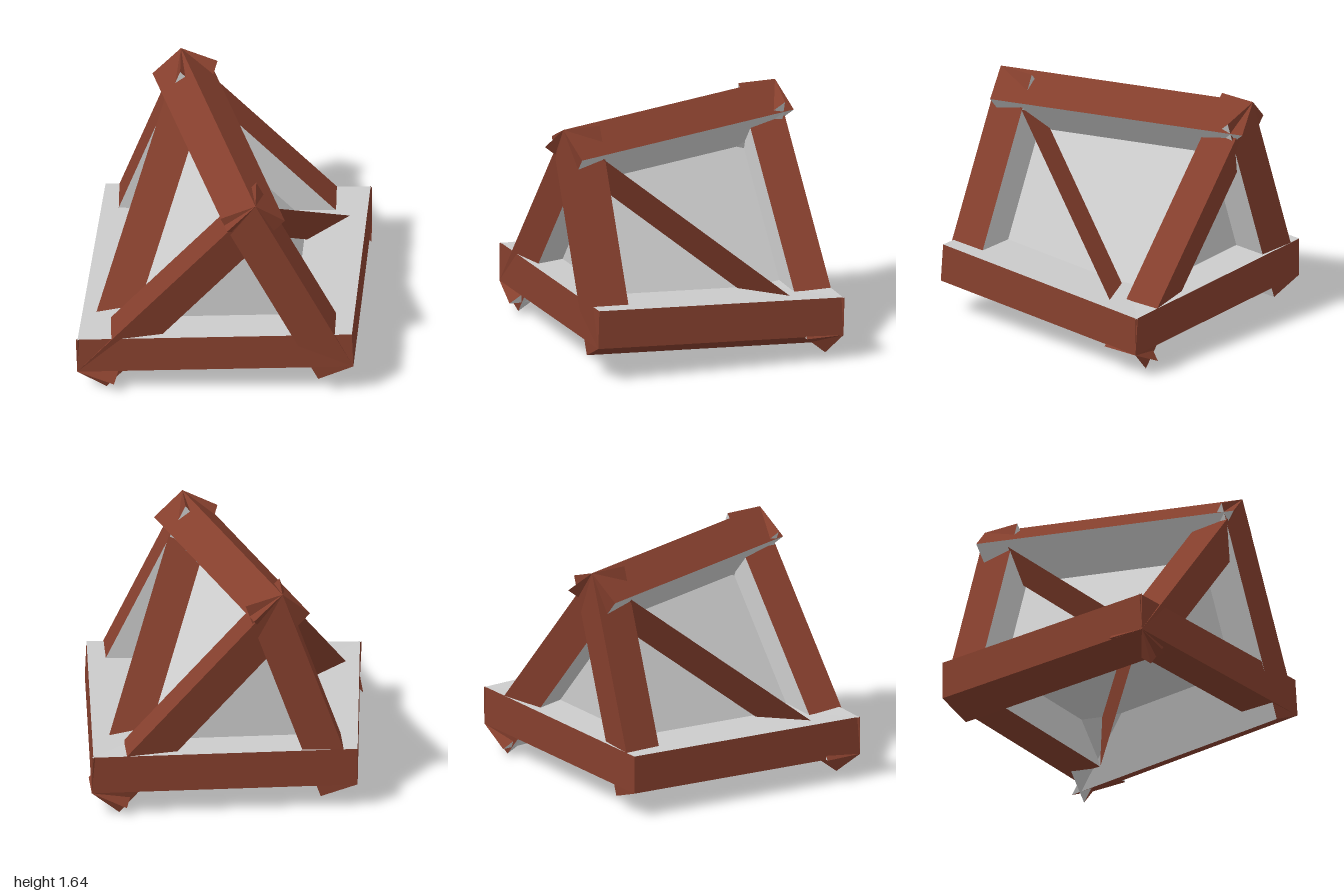
import * as THREE from 'three';

// Wedge-shaped hull: four base corners and a skewed ridge
const V = {
  frontLeft: [-1, 0.18, 0.885],
  frontRight: [0.905, 0.255, 0.885],
  backRight: [1, 0.18, -0.89],
  backLeft: [-0.84, 0.18, -0.89],
  ridgeBack: [-0.32, 1.64, -0.89],
  ridgeFront: [0.23, 1.64, 0.885],
};
// Every triangular face, split along the diagonals
const FACES = {
  frontFace: ['frontLeft', 'frontRight', 'ridgeFront'],
  backFace: ['backRight', 'backLeft', 'ridgeBack'],
  lowerSideA: ['frontRight', 'backRight', 'ridgeFront'],
  upperSideA: ['ridgeFront', 'backRight', 'ridgeBack'],
  lowerSideB: ['backLeft', 'frontLeft', 'ridgeBack'],
  upperSideB: ['ridgeBack', 'frontLeft', 'ridgeFront'],
  floorFront: ['frontLeft', 'backRight', 'frontRight'],
  floorBack: ['frontLeft', 'backLeft', 'backRight'],
};
const DEPTH = 0.27;

// Flat-shaded mesh from a list of triangle corners
function triangleMesh(points, material, name) {
  const geometry = new THREE.BufferGeometry().setFromPoints(points);
  geometry.computeVertexNormals();
  const mesh = new THREE.Mesh(geometry, material);
  mesh.name = name;
  return mesh;
}

export function createModel() {
  const model = new THREE.Group();
  model.name = 'triangulatedFrame';
  const wood = new THREE.MeshStandardMaterial({ color: 0x853f2d, side: THREE.DoubleSide });
  const grey = new THREE.MeshStandardMaterial({ color: 0xcccccc, side: THREE.DoubleSide });

  for (const [name, keys] of Object.entries(FACES)) {
    const outer = keys.map((k) => new THREE.Vector3(...V[k]));
    const normal = new THREE.Triangle(...outer).getNormal(new THREE.Vector3());
    const inner = outer.map((p) => p.clone().addScaledVector(normal, -DEPTH));

    // Boards run inward from the three edges, square to the face
    const boards = [];
    for (let i = 0; i < 3; i++) {
      const j = (i + 1) % 3;
      boards.push(inner[i], inner[j], outer[j], inner[i], outer[j], outer[i]);
    }
    const part = new THREE.Group();
    part.name = name;
    part.add(triangleMesh(boards, wood, 'edgeBoards'));
    // Recessed panel closes the inner end of the boards
    part.add(triangleMesh(inner, grey, 'recessedPanel'));
    model.add(part);
  }
  return model;
}
